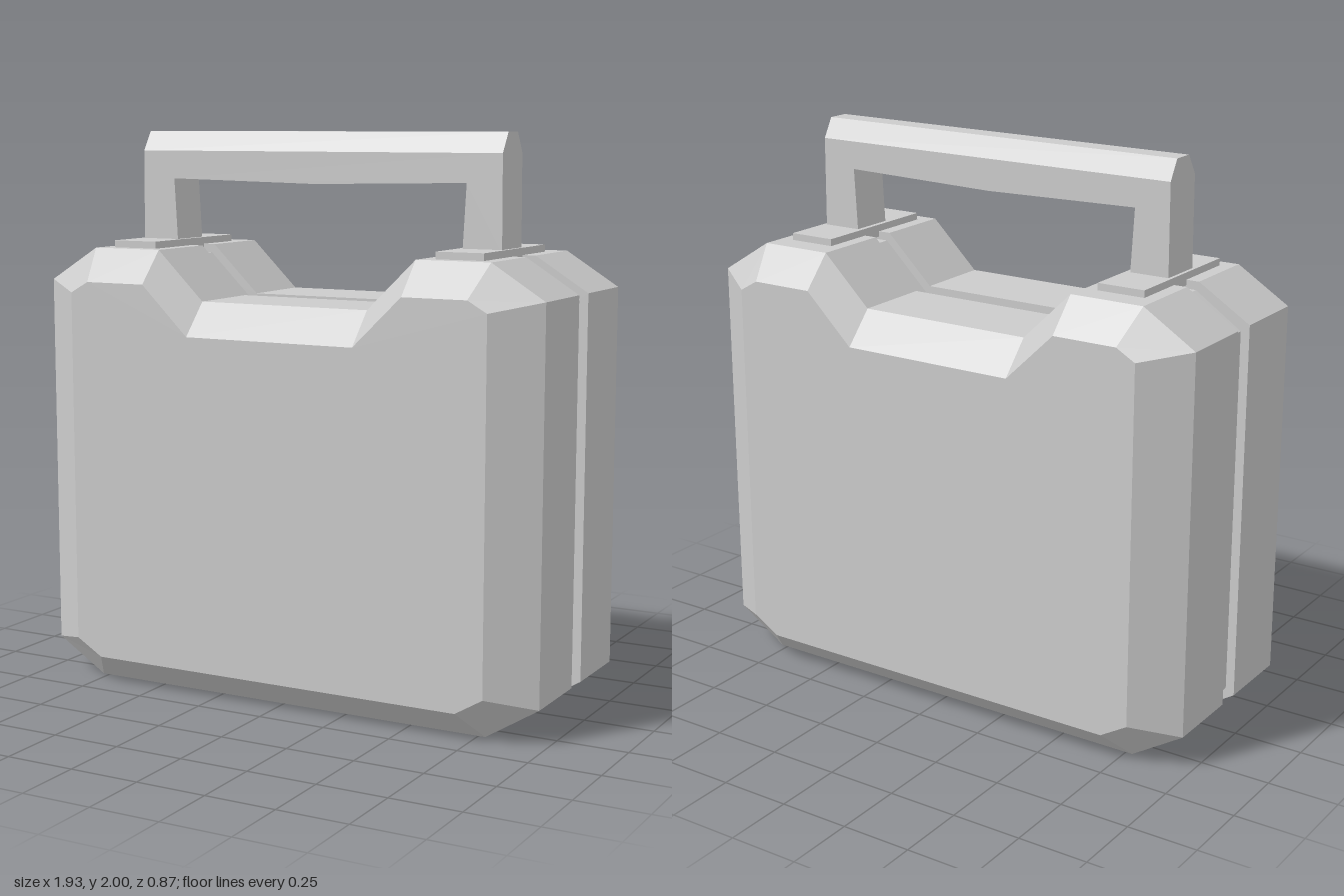
import * as THREE from 'three';

const material = new THREE.MeshStandardMaterial({ color: 0xcccccc, flatShading: true });

// Completes an outline (anticlockwise) from its +x half.
const mirrored = half => [...half, ...half.slice().reverse().map(([x, y]) => [-x, y])];

const OUTER = mirrored([[0.775, 0], [0.967, 0.12], [0.967, 1.465], [0.775, 1.585], [0.505, 1.585], [0.325, 1.41]]);
const FACE = mirrored([[0.71, 0.1], [0.81, 0.16], [0.81, 1.43], [0.74, 1.47], [0.505, 1.47], [0.325, 1.295]]);
const CORE = mirrored([[0.765, 0.03], [0.935, 0.14], [0.935, 1.44], [0.765, 1.555], [0.517, 1.555], [0.337, 1.38]]);

// Closed solid through outlines listed from back to front: [outline, z].
function loft(sections) {
  const positions = [];
  const tri = (...pts) => pts.forEach(p => positions.push(...p));
  const rings = sections.map(([outline, z]) => outline.map(([x, y]) => [x, y, z]));
  for (let s = 0; s < rings.length - 1; s++) {
    const a = rings[s], b = rings[s + 1], n = a.length;
    for (let i = 0; i < n; i++) {
      const j = (i + 1) % n;
      tri(a[i], a[j], b[j]);
      tri(a[i], b[j], b[i]);
    }
  }
  const cap = (ring, front) => {
    const contour = ring.map(([x, y]) => new THREE.Vector2(x, y));
    for (const [i, j, k] of THREE.ShapeUtils.triangulateShape(contour, [])) {
      if (front) tri(ring[i], ring[j], ring[k]);
      else tri(ring[i], ring[k], ring[j]);
    }
  };
  cap(rings[0], false);
  cap(rings[rings.length - 1], true);
  const geometry = new THREE.BufferGeometry();
  geometry.setAttribute('position', new THREE.Float32BufferAttribute(positions, 3));
  geometry.computeVertexNormals();
  return geometry;
}

export function createModel() {
  const model = new THREE.Group();
  const add = (name, geometry, parent = model) => {
    const mesh = new THREE.Mesh(geometry, material);
    mesh.name = name;
    parent.add(mesh);
    return mesh;
  };

  // Two bevelled shells with a recessed seam between them
  add('frontShell', loft([[OUTER, 0.042], [OUTER, 0.33], [FACE, 0.437]]));
  add('backShell', loft([[FACE, -0.437], [OUTER, -0.33], [OUTER, -0.042]]));
  add('seamCore', loft([[CORE, -0.06], [CORE, 0.06]]));

  // Mounting pads under the handle legs
  for (const [name, side] of [['leftHandlePad', 1], ['rightHandlePad', -1]]) {
    add(name, new THREE.BoxGeometry(0.175, 0.045, 0.52)).position.set(side * 0.64, 1.5875, 0.02);
  }

  // Handle: an arch whose top edge is chamfered at front and back
  const handle = new THREE.Group();
  handle.name = 'handle';
  model.add(handle);
  // The outline's highest points narrow from the full depth to the flat top
  const arch = top => [[0.715, 1.6], [0.713, top], [-0.713, top], [-0.715, 1.6],
    [-0.57, 1.6], [-0.583, 1.83], [0, 1.818], [0.583, 1.83], [0.57, 1.6]];
  add('handleArch', loft([[arch(1.93), -0.06], [arch(2), -0.02], [arch(2), 0.06], [arch(1.93), 0.105]]), handle);

  return model;
}
